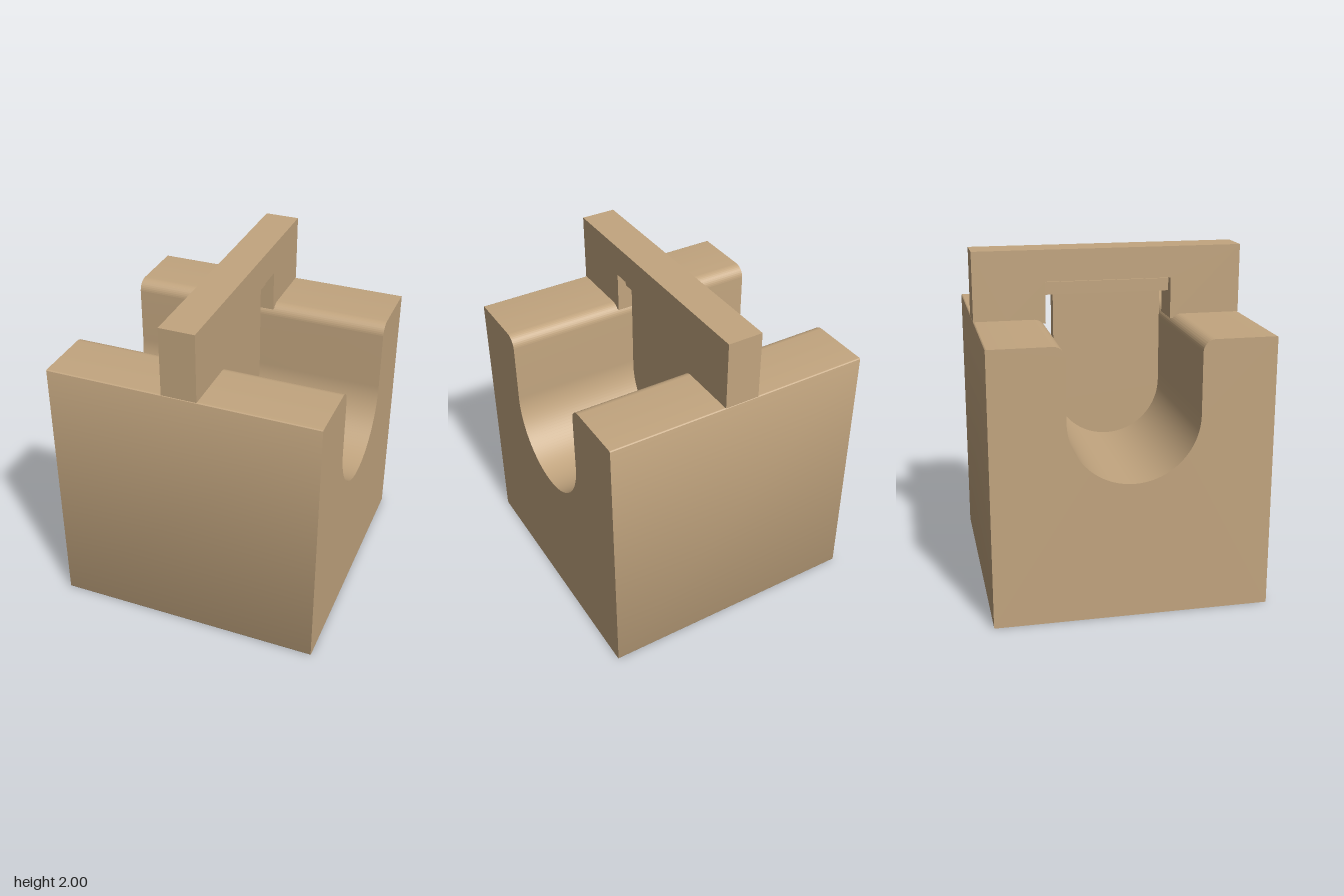
import * as THREE from 'three';
import { toCreasedNormals } from 'three/addons/utils/BufferGeometryUtils.js';

const H = 0.797;      // half side of the block
const TOP = 1.595;    // block height
const SLOT = 0.375;   // half width (and radius) of the channel

// Extrudes a side profile (z, y) along x, centred on x = 0.
function sideExtrude(shape, width) {
  const geo = new THREE.ExtrudeGeometry(shape, { depth: width, bevelEnabled: false, curveSegments: 32 });
  geo.translate(0, 0, -width / 2);
  geo.rotateY(Math.PI / 2);
  return toCreasedNormals(geo, 0.6);
}

// Block with a U-shaped channel whose upper rims are rounded.
function blockShape() {
  const r = 0.07, e = 0.008, cy = 1.175;
  const s = new THREE.Shape();
  s.moveTo(-H + e, 0);
  s.lineTo(H - e, 0);
  s.absarc(H - e, e, e, -Math.PI / 2, 0, false);
  s.absarc(H - e, TOP - e, e, 0, Math.PI / 2, false);
  s.absarc(SLOT + r, TOP - r, r, Math.PI / 2, Math.PI, false);
  s.absarc(0, cy, SLOT, 0, -Math.PI, true);
  s.absarc(-SLOT - r, TOP - r, r, 0, Math.PI / 2, false);
  s.absarc(-H + e, TOP - e, e, Math.PI / 2, Math.PI, false);
  s.absarc(-H + e, e, e, Math.PI, Math.PI * 1.5, false);
  return s;
}

// Bridge over the channel, open below; its feet sink into the block.
function bridgeShape() {
  const foot = 1.57, ceiling = 1.815;
  return new THREE.Shape([
    [-H, TOP], [-0.6, TOP], [-0.6, foot], [-SLOT, foot], [-SLOT, ceiling],
    [SLOT, ceiling], [SLOT, foot], [0.6, foot], [0.6, TOP], [H, TOP], [H, 2], [-H, 2],
  ].map(([z, y]) => new THREE.Vector2(z, y)));
}

// Hanging gate with a round lower end.
function gateShape() {
  const r = 0.322, cy = 1.18;
  const s = new THREE.Shape();
  s.moveTo(r, 1.77);
  s.lineTo(-r, 1.77);
  s.absarc(0, cy, r, Math.PI, Math.PI * 2, false);
  s.closePath();
  return s;
}

export function createModel() {
  const group = new THREE.Group();
  const tan = new THREE.MeshStandardMaterial({ color: 0xc2a57f });
  tan.name = 'tan';

  const add = (name, geometry) => {
    const mesh = new THREE.Mesh(geometry, tan);
    mesh.name = name;
    group.add(mesh);
    return mesh;
  };

  add('channelBlock', sideExtrude(blockShape(), H * 2));
  add('bridge', sideExtrude(bridgeShape(), 0.206));
  add('hangingGate', sideExtrude(gateShape(), 0.08));

  // Hinge bar spanning the bridge opening
  add('hingeBar', new THREE.BoxGeometry(0.1, 0.074, SLOT * 2)).position.y = 1.766;

  return group;
}
